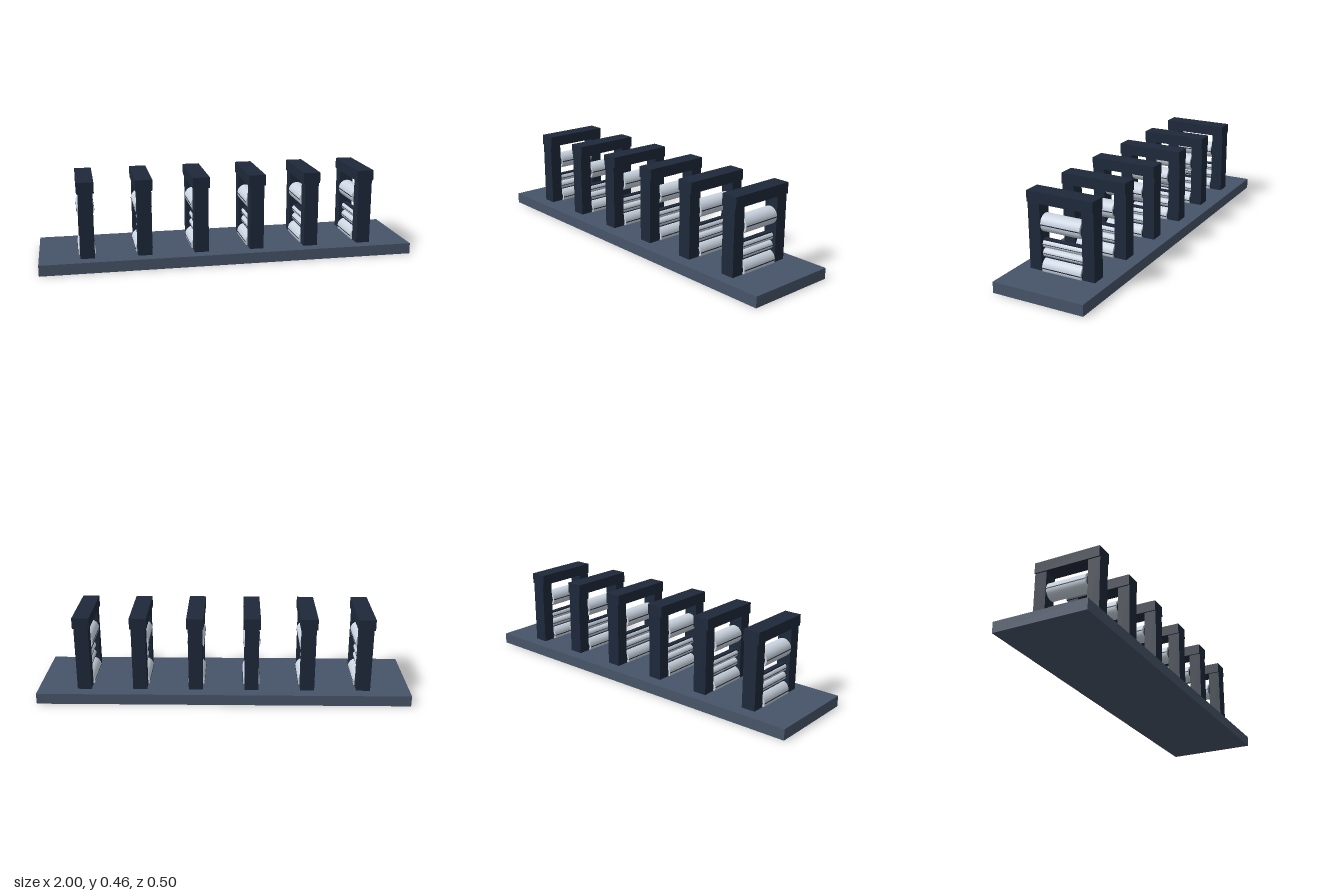
import * as THREE from 'three';

const material = (name, color) => new THREE.MeshStandardMaterial({ name, color });

export function createModel() {
  const slate = material('slate base', 0x475569);
  const dark = material('dark frame', 0x1e293b);
  const steel = material('polished steel', 0xcbd5e1);

  const add = (parent, name, geometry, mat, x, y, z) => {
    const mesh = new THREE.Mesh(geometry, mat);
    mesh.name = name;
    mesh.position.set(x, y, z);
    parent.add(mesh);
    return mesh;
  };
  const box = (w, h, d) => new THREE.BoxGeometry(w, h, d);
  // Cylinder lying along z
  const roller = (r, length) => new THREE.CylinderGeometry(r, r, length, 32).rotateX(Math.PI / 2);

  const model = new THREE.Group();
  model.name = 'rollingMill';
  add(model, 'base', box(2, 0.058, 0.5), slate, 0, 0.029, 0);

  const postGeo = box(0.075, 0.347, 0.066);
  const beamGeo = box(0.09, 0.058, 0.366);
  const backupGeo = roller(0.046, 0.218);
  const neckGeo = roller(0.035, 0.222);
  const workGeo = roller(0.0215, 0.236);
  const backupSeamGeo = box(0.002, 0.005, 0.218);
  const workSeamGeo = box(0.002, 0.003, 0.236);

  for (let i = 0; i < 6; i++) {
    const stand = new THREE.Group();
    stand.name = 'millStand';
    stand.position.x = -0.75 + i * 0.3;
    model.add(stand);

    // Housing
    for (const side of [-1, 1]) add(stand, 'post', postGeo, dark, 0, 0.2315, side * 0.15);
    add(stand, 'topBeam', beamGeo, dark, 0, 0.434, 0);

    // Large backup rolls with end necks and side seams
    for (const y of [0.301, 0.076]) {
      add(stand, 'backupRoll', backupGeo, steel, 0, y, 0);
      add(stand, 'rollNeck', neckGeo, dark, 0, y, 0);
      for (const side of [-1, 1]) add(stand, 'backupSeam', backupSeamGeo, dark, side * 0.0456, y, 0);
    }

    // Small work rolls reaching the posts
    for (const y of [0.1905, 0.1435]) {
      add(stand, 'workRoll', workGeo, steel, 0, y, 0);
      for (const side of [-1, 1]) add(stand, 'workSeam', workSeamGeo, dark, side * 0.0212, y, 0);
    }

    // Dark bars above and below the work roll pair
    add(stand, 'upperBar', box(0.026, 0.007, 0.236), dark, 0, 0.2125, 0);
    add(stand, 'lowerBar', box(0.026, 0.005, 0.236), dark, 0, 0.1205, 0);
  }
  return model;
}
